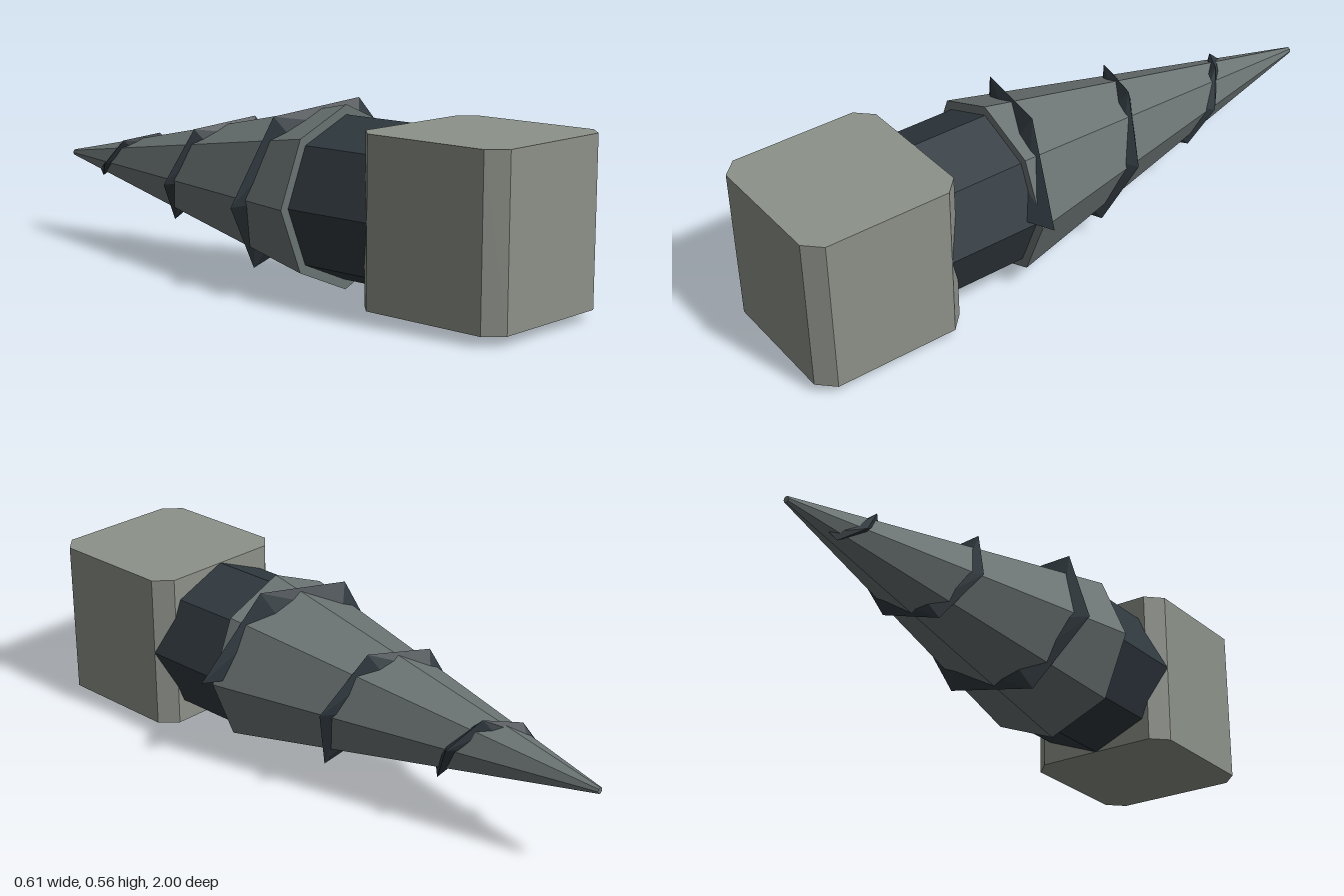
import * as THREE from 'three';

const AXIS_X = -0.02, AXIS_Y = 0.28;
const TIP_Z = -1, BASE_Z = 0.25, BASE_R = 0.28, TIP_R = 0.01;

const material = (color) => new THREE.MeshStandardMaterial({ color, flatShading: true });

// Radius of the bit at a given depth
const coneRadius = (z) => TIP_R + (BASE_R - TIP_R) * (z - TIP_Z) / (BASE_Z - TIP_Z);

// Eight-sided tapered barrel lying along z
function barrel(backR, frontR, backZ, frontZ) {
  const g = new THREE.CylinderGeometry(backR, frontR, frontZ - backZ, 8);
  g.rotateX(-Math.PI / 2);
  g.translate(0, 0, (frontZ + backZ) / 2);
  return g;
}

// Block with its four upright edges chamfered
function chamferedBlock(h, c) {
  const shape = new THREE.Shape([
    [-h, -h + c], [-h + c, -h], [h - c, -h], [h, -h + c],
    [h, h - c], [h - c, h], [-h + c, h], [-h, h - c],
  ].map(([x, y]) => new THREE.Vector2(x, y)));
  const g = new THREE.ExtrudeGeometry(shape, { depth: 2 * h, bevelEnabled: false });
  g.rotateX(-Math.PI / 2);
  g.translate(0, -h, 0.75);
  return g;
}

// Triangular ridge winding round the bit, six straight pieces per turn
function spiralRidge() {
  const steps = 16, pitch = 0.4, pos = [], idx = [];
  for (let k = 0; k <= steps; k++) {
    const a = THREE.MathUtils.degToRad(4 + 60 * k);
    const z = 0.245 - pitch * k / 6;
    const r = coneRadius(z);
    const w = 0.022 + 0.05 * r;
    const section = [[r * 0.86, w], [r * 1.17 + 0.005, 0], [r * 0.86, -w]];
    for (const [radius, dz] of section) {
      pos.push(radius * Math.cos(a), radius * Math.sin(a), z + dz);
    }
  }
  for (let k = 0; k < steps; k++) {
    for (let j = 0; j < 3; j++) {
      const a = k * 3 + j, b = k * 3 + (j + 1) % 3;
      idx.push(a, b, b + 3, a, b + 3, a + 3);
    }
  }
  const e = steps * 3;
  idx.push(0, 2, 1, e, e + 1, e + 2);
  const g = new THREE.BufferGeometry();
  g.setAttribute('position', new THREE.Float32BufferAttribute(pos, 3));
  g.setIndex(idx);
  const flat = g.toNonIndexed();
  flat.computeVertexNormals();
  return flat;
}

export function createModel() {
  const group = new THREE.Group();
  group.name = 'drill';
  const add = (name, geometry, color) => {
    const mesh = new THREE.Mesh(geometry, material(color));
    mesh.name = name;
    mesh.position.set(AXIS_X, AXIS_Y, 0);
    group.add(mesh);
  };

  add('housing', chamferedBlock(0.25, 0.05), 0x8c9188);
  add('collar', barrel(0.25, 0.25, 0.24, 0.6), 0x30393f);
  add('bit', barrel(TIP_R, BASE_R, TIP_Z, BASE_Z), 0x6a7272);
  add('spiralRidge', spiralRidge(), 0x30393f);
  return group;
}
